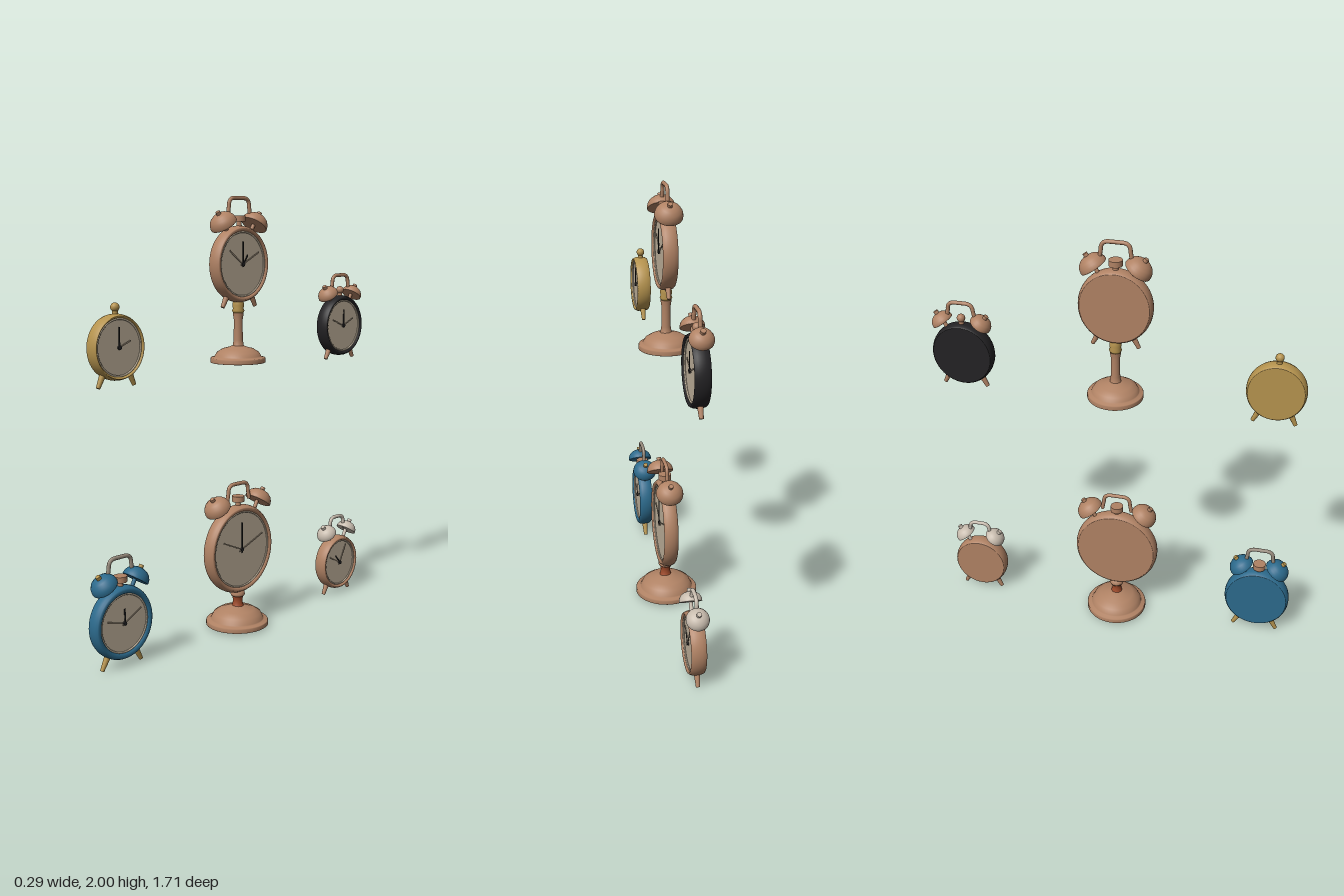
import * as THREE from 'three';

const mat = (name, color) => {
  const m = new THREE.MeshStandardMaterial({ color });
  m.name = name;
  return m;
};

export function createModel() {
  const copper = mat('copper', 0xb08264), brass = mat('brass', 0xb5934e), black = mat('black enamel', 0x232224);
  const blue = mat('blue enamel', 0x2c6a8c), cream = mat('cream dial', 0xc0b29c), red = mat('red neck', 0xa04c2c);
  const pale = mat('pale metal', 0xc8bcae), steel = mat('grey metal', 0x978a7c), taupe = mat('taupe hand', 0x9a8b78);
  const root = new THREE.Group();
  root.name = 'alarmClocks';

  const add = (parent, name, geo, material, x = 0, y = 0, z = 0) => {
    const m = new THREE.Mesh(geo, material);
    m.name = name;
    m.position.set(x, y, z);
    parent.add(m);
    return m;
  };
  const lathe = (pts, n = 48) => new THREE.LatheGeometry(pts.map(p => new THREE.Vector2(p[0], p[1])), n);
  // round bar between two points in the clock plane
  const bar = (parent, name, a, b, r0, r1, material) => {
    const A = new THREE.Vector3(a[0], a[1], 0), d = new THREE.Vector3(b[0], b[1], 0).sub(A);
    const m = add(parent, name, new THREE.CylinderGeometry(r1, r0, d.length(), 14), material);
    m.position.copy(A).addScaledVector(d, 0.5);
    m.quaternion.setFromUnitVectors(new THREE.Vector3(0, 1, 0), d.normalize());
  };

  // A clock faces local +z; local x points to the viewer's right
  function clock(o) {
    const g = new THREE.Group();
    g.name = o.name;
    g.position.set(0.003, o.y, o.z);
    g.rotation.y = Math.PI / 2;
    root.add(g);
    const { R, f } = o, ry = 1.04, T = 0.032;

    // case: flat back, rounded side and raised rim
    const body = add(g, 'case', lathe([
      [0, -T], [R * 0.93, -T], [R * 0.935, -T], [R * 0.97, -0.026], [R * 0.995, -0.012], [R, 0.004],
      [R * 0.985, 0.02], [R * 0.95, 0.031], [(R + f) / 2, 0.035], [f + 0.004, 0.032], [f, 0.026], [f, 0.015],
    ], 64).rotateX(Math.PI / 2), o.body);
    body.scale.y = ry;
    const dial = add(g, 'dial', new THREE.CircleGeometry(f + 0.002, 64), cream, 0, 0, 0.02);
    dial.scale.y = ry;
    // thin inner ring around the dial
    const ring = add(g, 'dialRing', new THREE.TorusGeometry(f - 0.003, 0.004, 8, 64), o.ring || cream, 0, 0, 0.024);
    ring.scale.y = ry;

    // hands: [end x, end y, material]
    o.hands.forEach(([x, y, m], i) => {
      const l = Math.hypot(x, y);
      const h = add(g, 'hand' + (i + 1), new THREE.BoxGeometry(0.006, l * 1.12, 0.003), m, x * 0.44, y * 0.44, 0.024 + i * 0.002);
      h.rotation.z = Math.atan2(-x, y);
    });
    add(g, 'handHub', new THREE.CylinderGeometry(0.009, 0.009, 0.008, 16).rotateX(Math.PI / 2), black, 0, 0, 0.027);

    for (const s of [-1, 1]) {
      // splayed feet
      const [lx, ly] = o.leg;
      bar(g, 'foot', [s * lx * 0.68, ly + 0.064], [s * lx, ly], 0.015, 0.009, o.legMat);
      if (!o.bell) continue;
      // tilted bell with finial and post
      const [bx, by, br] = o.bell, h = br * 0.9;
      const b = new THREE.Group();
      b.name = s < 0 ? 'leftBell' : 'rightBell';
      b.position.set(s * bx, by, 0);
      b.rotation.z = -s * 0.6;
      g.add(b);
      add(b, 'bellDome', lathe([
        [0, 0], [br * 0.97, 0], [br, 0.001], [br, 0.008], [br * 0.95, h * 0.4], [br * 0.8, h * 0.67],
        [br * 0.55, h * 0.88], [br * 0.28, h * 0.98], [0, h],
      ], 36), o.bellMat);
      add(b, 'bellFinial', new THREE.CylinderGeometry(0.011, 0.011, 0.018, 14), o.finMat || o.bellMat, 0, h + 0.004, 0);
      bar(g, 'bellPost', [s * bx, by + 0.005], [s * (bx - 0.03), by - 0.05], 0.009, 0.009, o.bellMat);
    }

    // carrying handle
    if (o.handle) {
      const [w, top, foot] = o.handle, c = 0.035, y = top - 0.009;
      const V = (x, yy) => new THREE.Vector3(x, yy, 0);
      const path = new THREE.CurvePath();
      path.add(new THREE.LineCurve3(V(-w - 0.008, foot), V(-w, y - c)));
      path.add(new THREE.QuadraticBezierCurve3(V(-w, y - c), V(-w, y), V(-w + c, y)));
      path.add(new THREE.LineCurve3(V(-w + c, y), V(w - c, y)));
      path.add(new THREE.QuadraticBezierCurve3(V(w - c, y), V(w, y), V(w, y - c)));
      path.add(new THREE.LineCurve3(V(w, y - c), V(w + 0.008, foot)));
      add(g, 'handle', new THREE.TubeGeometry(path, 60, 0.009, 10, false), o.handleMat);
    }

    // striker on top of the case
    const top = R * ry;
    if (o.striker) {
      add(g, 'strikerStem', new THREE.CylinderGeometry(0.011, 0.013, 0.04, 14), o.strikerMat, 0, top + 0.005, 0);
      if (o.striker === 'ball') add(g, 'strikerBall', new THREE.SphereGeometry(0.019, 20, 14), o.strikerMat, 0, top + 0.026, 0);
      else add(g, 'strikerHead', new THREE.CylinderGeometry(0.03, 0.03, 0.026, 20), o.strikerMat, 0, top + 0.03, 0);
    }
  }

  clock({
    name: 'tallPedestalClock', y: 1.70, z: -0.005, R: 0.164, f: 0.14, body: copper, legMat: copper, leg: [0.103, -0.19],
    bell: [0.093, 0.172, 0.062], bellMat: copper, handle: [0.063, 0.3, 0.2], handleMat: copper,
    striker: 'drum', strikerMat: copper,
    hands: [[-0.08, 0.06, taupe], [0.1, 0.052, taupe], [0, 0.1, black], [0.025, 0.04, black]],
  });
  clock({
    name: 'brassClock', y: 1.376, z: 0.704, R: 0.132, f: 0.116, body: brass, legMat: brass, leg: [0.094, -0.162],
    striker: 'ball', strikerMat: brass, hands: [[0.06, 0.025, taupe], [0, 0.085, black]],
  });
  clock({
    name: 'blackClock', y: 1.386, z: -0.709, R: 0.143, f: 0.122, body: black, legMat: copper, leg: [0.102, -0.162],
    bell: [0.086, 0.148, 0.05], bellMat: copper, handle: [0.058, 0.257, 0.17], handleMat: copper,
    striker: 'ball', strikerMat: copper,
    hands: [[-0.075, 0.03, taupe], [0.07, 0.032, taupe], [0, 0.08, black]],
  });
  clock({
    name: 'blueClock', y: 0.2, z: 0.702, R: 0.156, f: 0.126, body: blue, legMat: brass, leg: [0.106, -0.192],
    bell: [0.081, 0.172, 0.06], bellMat: blue, finMat: brass, handle: [0.06, 0.296, 0.2], handleMat: steel,
    striker: 'drum', strikerMat: copper,
    hands: [[-0.09, 0.025, taupe], [0.09, 0.05, taupe], [0, 0.065, black]],
  });
  clock({
    name: 'largePedestalClock', y: 0.38, z: 0, R: 0.202, f: 0.175, body: copper, legMat: copper, leg: [0.07, -0.24],
    bell: [0.128, 0.208, 0.063], bellMat: copper, handle: [0.063, 0.32, 0.23], handleMat: copper,
    striker: 'drum', strikerMat: copper,
    hands: [[-0.115, 0.05, taupe], [0.135, 0.055, taupe], [0, 0.13, black]],
  });
  clock({
    name: 'smallCopperClock', y: 0.164, z: -0.711, R: 0.133, f: 0.113, body: copper, legMat: copper, leg: [0.096, -0.157],
    bell: [0.074, 0.155, 0.05], bellMat: pale, handle: [0.05, 0.248, 0.17], handleMat: pale,
    hands: [[-0.075, 0.04, taupe], [0.045, 0.09, taupe], [-0.035, 0.04, black]],
  });
  // the large clock rests on its neck, so it has no feet
  const large = root.getObjectByName('largePedestalClock');
  large.children.filter(c => c.name === 'foot').forEach(c => large.remove(c));

  // stepped pedestal foot
  const pedestal = (name, y, z, r, h) => add(root, name, lathe([
    [0, 0], [r * 0.99, 0], [r, 0.001], [r, 0.018], [r * 0.98, 0.022], [r * 0.86, 0.025], [r * 0.84, 0.03],
    [r * 0.76, h * 0.6], [r * 0.56, h * 0.8], [r * 0.32, h * 0.9], [r * 0.18, h], [0, h],
  ]), copper, -0.004, y, z);
  pedestal('tallPedestalFoot', 1.257, -0.005, 0.126, 0.078);
  add(root, 'tallColumn', lathe([
    [0.034, 1.315], [0.025, 1.335], [0.021, 1.36], [0.02, 1.45], [0.024, 1.475], [0.024, 1.485],
  ], 28), copper, -0.002, 0, -0.005);
  add(root, 'tallCollar', lathe([
    [0, 1.482], [0.024, 1.482], [0.028, 1.492], [0.024, 1.502], [0.027, 1.515], [0.024, 1.535], [0.02, 1.545],
  ], 28), brass, -0.002, 0, -0.005);
  pedestal('largePedestalFoot', 0.012, 0, 0.147, 0.092);
  add(root, 'largeNeck', lathe([
    [0.034, 0.09], [0.026, 0.105], [0.022, 0.125], [0.025, 0.145], [0.031, 0.155],
  ], 28), red, 0, 0, 0);
  add(root, 'largeCollar', lathe([[0, 0.152], [0.032, 0.152], [0.034, 0.16], [0.03, 0.18], [0, 0.18]], 28), copper);

  return root;
}
